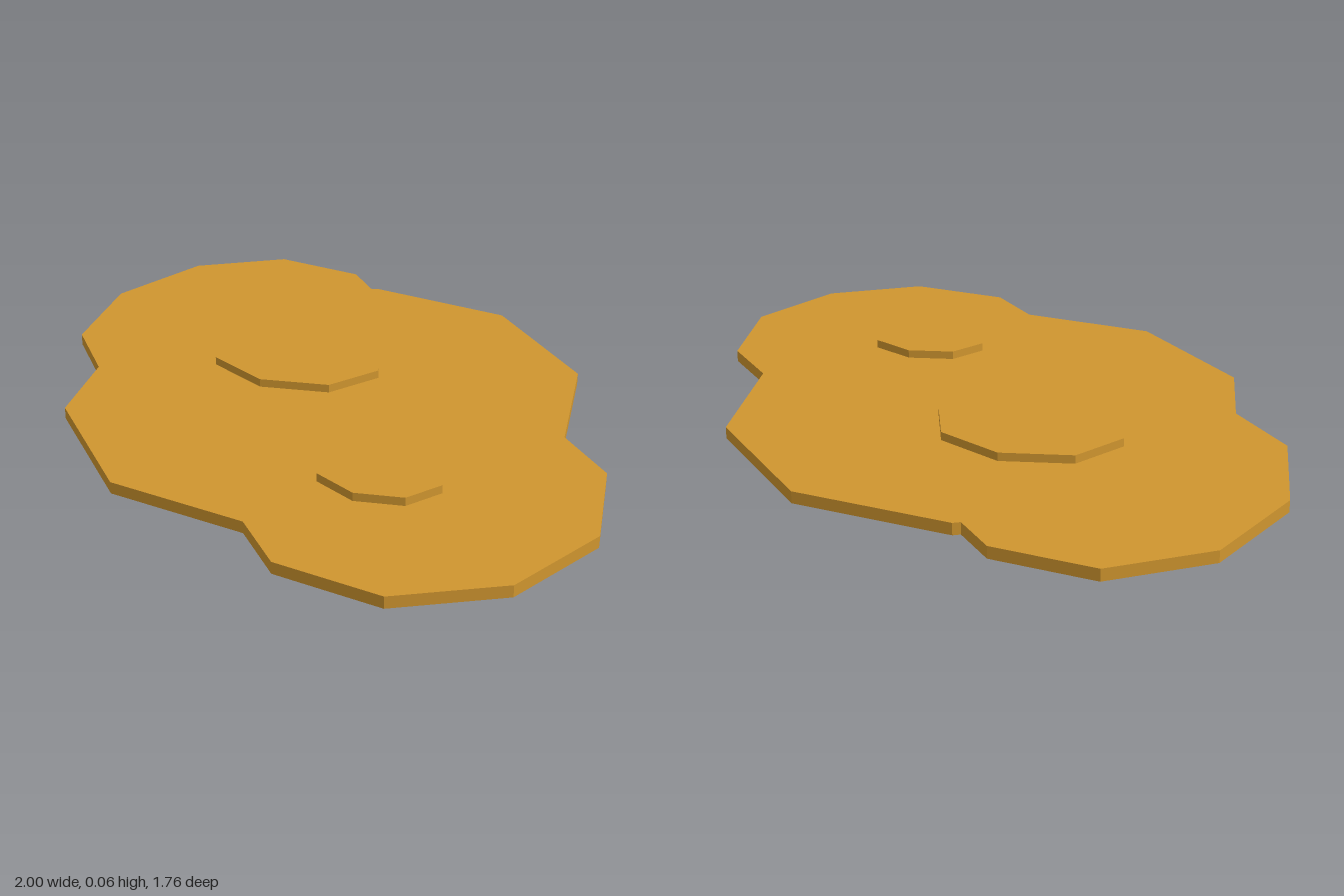
import * as THREE from 'three';

export function createModel() {
  const model = new THREE.Group();
  model.name = 'steppedPlate';
  const ochre = new THREE.MeshStandardMaterial({ color: 0xd0962f });
  ochre.name = 'ochre';
  ochre.flatShading = true;

  const baseHeight = 0.035;
  const topHeight = 0.06;

  // Base slab: angular outline given as x, z
  const outline = [
    [-0.675, -0.88], [-0.38, -0.88], [-0.268, -0.787], [-0.25, -0.8], [0.215, -0.8],
    [0.6, -0.503], [0.72, -0.093], [0.9, 0.047], [1, 0.365], [0.9, 0.682],
    [0.648, 0.88], [0.332, 0.88], [0.168, 0.75], [-0.254, 0.75], [-0.634, 0.455],
    [-0.716, 0.178], [-0.91, 0.008], [-1, -0.332], [-0.91, -0.675],
  ];
  const shape = new THREE.Shape(outline.map(([x, z]) => new THREE.Vector2(x, -z)));
  const slab = new THREE.ExtrudeGeometry(shape, { depth: baseHeight, bevelEnabled: false });
  slab.rotateX(-Math.PI / 2);
  const base = new THREE.Mesh(slab, ochre);
  base.name = 'baseSlab';
  model.add(base);

  // Raised eight-sided discs, slightly wider than deep
  const addDisc = (name, x, z, rx, rz) => {
    const height = topHeight - baseHeight;
    const geometry = new THREE.CylinderGeometry(1, 1, height, 8);
    geometry.scale(rx, 1, rz);
    const disc = new THREE.Mesh(geometry, ochre);
    disc.name = name;
    disc.position.set(x, baseHeight + height / 2, z);
    model.add(disc);
  };
  addDisc('largeDisc', -0.207, -0.178, 0.285, 0.23);
  addDisc('smallDisc', 0.365, 0.365, 0.19, 0.153);

  return model;
}
